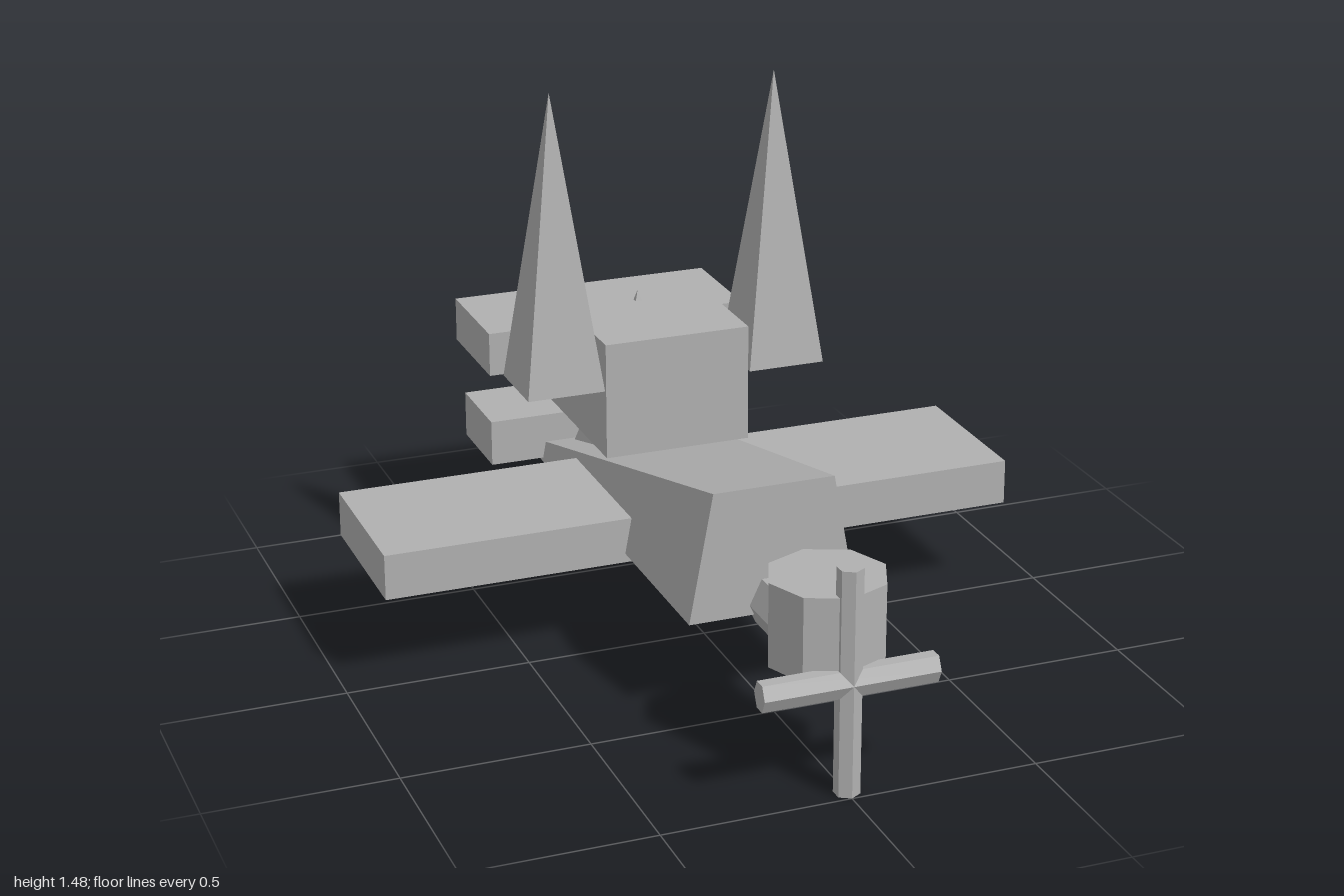
import * as THREE from 'three';

const grey = new THREE.MeshStandardMaterial({ color: 0xb0b0b0 });

// Give every facet its own normal for a crisp low-poly look
function flat(geometry) {
  const g = geometry.index ? geometry.toNonIndexed() : geometry;
  g.computeVertexNormals();
  return g;
}

export function createModel() {
  const model = new THREE.Group();
  model.name = 'aircraft';

  function add(name, geometry, x = 0, y = 0, z = 0) {
    const mesh = new THREE.Mesh(flat(geometry), grey);
    mesh.name = name;
    mesh.position.set(x, y, z);
    model.add(mesh);
    return mesh;
  }

  // Box given by its half width and its y and z ranges
  function slab(name, halfX, y0, y1, z0, z1) {
    add(name, new THREE.BoxGeometry(halfX * 2, y1 - y0, z1 - z0), 0, (y0 + y1) / 2, (z0 + z1) / 2);
  }

  // Square pyramid standing on its base
  function pyramid(name, half, y0, y1, x, z) {
    const g = new THREE.ConeGeometry(half * Math.SQRT2, y1 - y0, 4).rotateY(Math.PI / 4);
    add(name, g, x, (y0 + y1) / 2, z);
  }

  // Wedge fuselage: tall trapezoid nose tapering to a flat tail edge
  const corners = [
    [-0.23, 0.28, 0.49], [0.23, 0.28, 0.49], [0.165, 0.63, 0.49], [-0.165, 0.63, 0.49],
    [-0.23, 0.28, -0.91], [0.23, 0.28, -0.91],
  ];
  const faces = [0, 1, 2, 0, 2, 3, 3, 2, 5, 3, 5, 4, 1, 5, 2, 0, 3, 4, 0, 4, 5, 0, 5, 1];
  const wedge = new THREE.BufferGeometry();
  wedge.setAttribute('position', new THREE.Float32BufferAttribute(corners.flat(), 3));
  wedge.setIndex(faces);
  add('fuselage', wedge);

  // Wings, tailplanes and raised cabin
  slab('wing', 0.89, 0.255, 0.38, -0.435, 0.015);
  slab('lowerTailplane', 0.38, 0.29, 0.42, -0.93, -0.68);
  slab('upperTailplane', 0.38, 0.56, 0.685, -1, -0.68);
  slab('cabin', 0.205, 0.47, 0.795, -0.67, -0.195);

  // Pedestal whose tip pokes through the cabin roof
  pyramid('cabinPedestal', 0.156, 0.3, 0.825, 0, -0.507);

  // Tall spires on both sides
  for (const s of [-1, 1]) {
    pyramid(s > 0 ? 'leftSpire' : 'rightSpire', 0.108, 0.665, 1.475, s * 0.317, -0.3);
  }

  // Engine drum and the shaft joining it to the nose
  add('engine', new THREE.CylinderGeometry(0.155, 0.155, 0.225, 8), 0, 0.418, 0.83);
  const shaft = new THREE.CylinderGeometry(0.065, 0.065, 0.36, 6)
    .rotateY(Math.PI / 2).rotateX(Math.PI / 2).scale(1, 1.22, 1);
  add('engineShaft', shaft, 0, 0.307, 0.63);

  // Crossed hexagonal propeller blades
  add('verticalBlade', new THREE.CylinderGeometry(0.034, 0.034, 0.605, 6), 0, 0.3025, 0.966);
  const blade = new THREE.CylinderGeometry(0.034, 0.034, 0.465, 6)
    .rotateZ(Math.PI / 2).scale(1, 1.2, 1);
  add('horizontalBlade', blade, 0, 0.3025, 0.966);

  return model;
}
